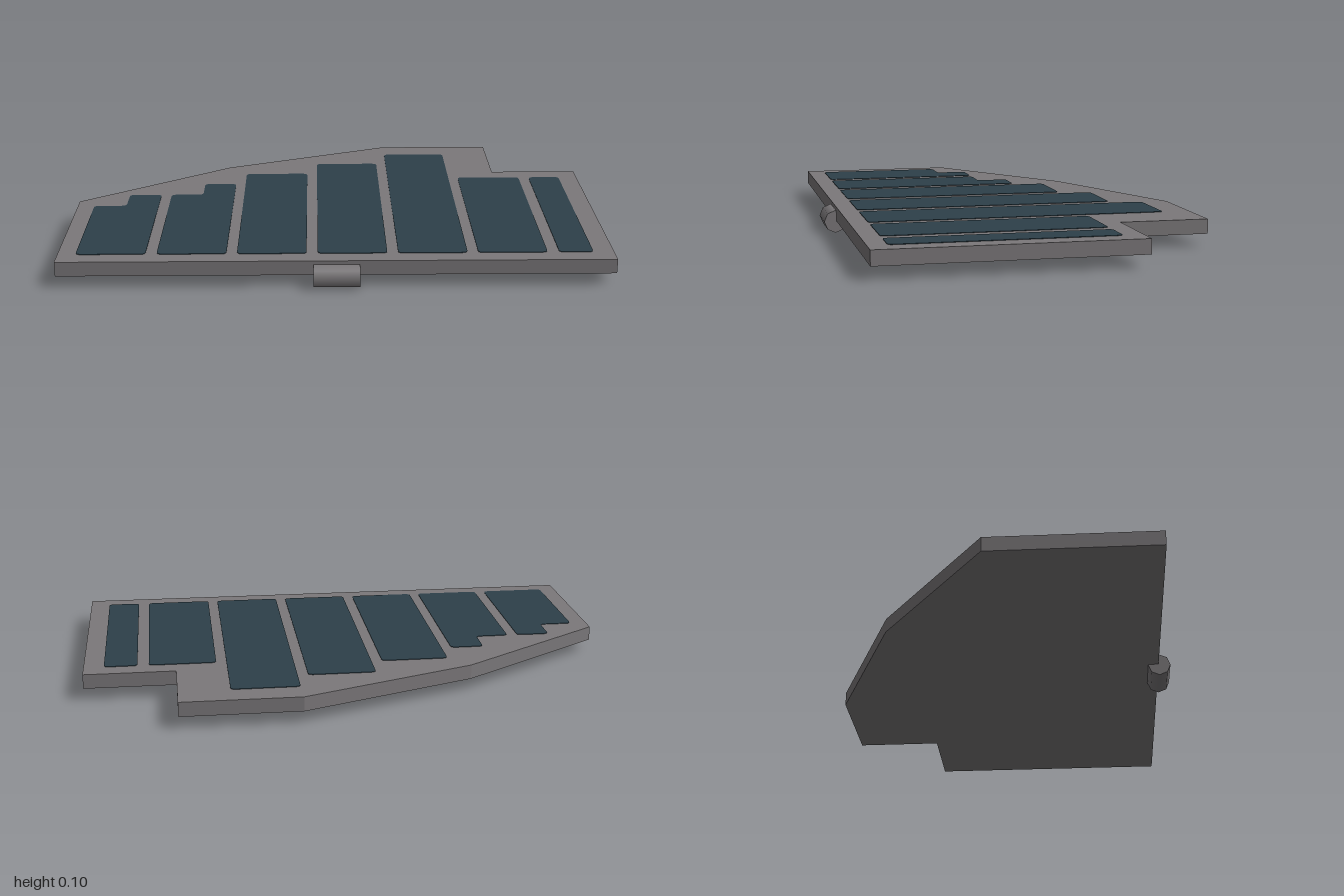
import * as THREE from 'three';

const frameGrey = new THREE.MeshStandardMaterial({ color: 0x7b787a });
frameGrey.name = 'frame grey';
const cellBlue = new THREE.MeshStandardMaterial({ color: 0x2d404a });
cellBlue.name = 'cell blue';

// Outline from [x, z] points, with corners rounded by r
function outline(points, r = 0) {
  const pts = points.map(([x, z]) => new THREE.Vector2(x, -z));
  const shape = new THREE.Shape();
  pts.forEach((p, i) => {
    const prev = pts[(i + pts.length - 1) % pts.length];
    const next = pts[(i + 1) % pts.length];
    const a = p.clone().add(prev.clone().sub(p).setLength(r));
    const b = p.clone().add(next.clone().sub(p).setLength(r));
    if (i === 0) shape.moveTo(a.x, a.y);
    else shape.lineTo(a.x, a.y);
    if (r > 0) shape.quadraticCurveTo(p.x, p.y, b.x, b.y);
  });
  shape.closePath();
  return shape;
}

// Flat slab lying in the ground plane, from y = bottom upwards
function slab(name, shape, bottom, height, material) {
  const geometry = new THREE.ExtrudeGeometry(shape, {
    depth: height, bevelEnabled: false, curveSegments: 3,
  });
  geometry.rotateX(-Math.PI / 2).translate(0, bottom, 0);
  const mesh = new THREE.Mesh(geometry, material);
  mesh.name = name;
  return mesh;
}

export function createModel() {
  const model = new THREE.Group();
  model.name = 'solarPanel';

  // Backing board
  const board = outline([
    [-1, 0.615], [1, 0.615], [1, -0.33], [0.66, -0.33],
    [0.66, -0.66], [0.22, -0.66], [-0.43, -0.4], [-1, 0],
  ]);
  model.add(slab('backingBoard', board, 0.045, 0.054, frameGrey));

  // Cell strips: left x, right x, far z on the left half, far z on the right half
  const strips = [
    [-0.935, -0.685, 0.055, -0.067],
    [-0.645, -0.395, -0.067, -0.19],
    [-0.357, -0.107, -0.312, -0.312],
    [-0.067, 0.183, -0.435, -0.435],
    [0.222, 0.472, -0.555, -0.555],
    [0.51, 0.76, -0.255, -0.255],
    [0.802, 0.925, -0.255, -0.255],
  ];
  const cells = new THREE.Group();
  cells.name = 'solarCells';
  const near = 0.547;
  strips.forEach(([x0, x1, zl, zr], i) => {
    const mid = (x0 + x1) / 2;
    const points = [[x0, near], [x1, near], [x1, zr]];
    if (zl !== zr) points.push([mid, zr], [mid, zl]);
    points.push([x0, zl]);
    cells.add(slab(`cellStrip${i + 1}`, outline(points, 0.018), 0.098, 0.003, cellBlue));
  });
  model.add(cells);

  // Hinge barrel on the front edge
  const hinge = new THREE.Mesh(new THREE.CylinderGeometry(0.043, 0.043, 0.166, 8), frameGrey);
  hinge.name = 'hingeBarrel';
  hinge.rotation.z = Math.PI / 2;
  hinge.position.set(0, 0.043, 0.618);
  model.add(hinge);

  return model;
}
